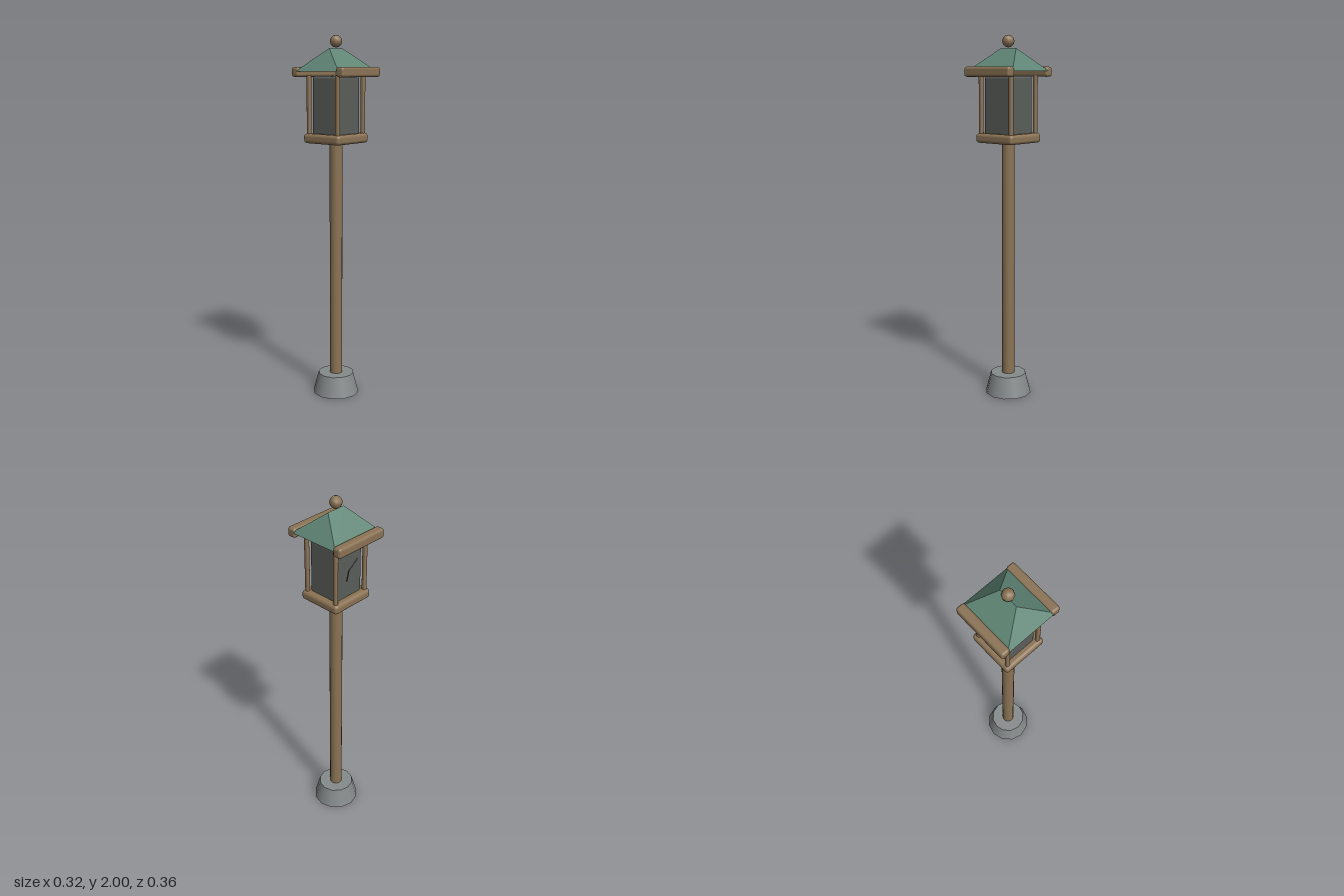
import * as THREE from 'three';
import { RoundedBoxGeometry } from 'three/addons/geometries/RoundedBoxGeometry.js';
import { ConvexGeometry } from 'three/addons/geometries/ConvexGeometry.js';

const paint = (color, flatShading = false) => new THREE.MeshStandardMaterial({ color, flatShading });

export function createModel() {
  const group = new THREE.Group();
  const wood = paint(0x8b7355);
  const roofGreen = paint(0x5f8575, true);
  const glass = paint(0x5a5e5a);
  const stone = paint(0x858a8a);
  const dark = paint(0x1c1c1c);

  const add = (name, geometry, material, x, y, z) => {
    const mesh = new THREE.Mesh(geometry, material);
    mesh.name = name;
    mesh.position.set(x, y, z);
    group.add(mesh);
    return mesh;
  };
  const box = (w, h, d, r) => new RoundedBoxGeometry(w, h, d, 3, r);

  // Stone footing and pole
  add('footing', new THREE.CylinderGeometry(0.1, 0.13, 0.115, 12), stone, 0, 0.0575, 0);
  add('pole', new THREE.CylinderGeometry(0.035, 0.035, 1.35, 16), wood, 0, 0.775, 0);

  // Lantern floor and glass body
  add('lanternFloor', box(0.26, 0.052, 0.25, 0.018), wood, 0, 1.454, 0);
  add('glassBody', box(0.19, 0.32, 0.18, 0.014), glass, 0, 1.625, 0);

  // Corner posts
  for (const x of [-0.106, 0.106])
    for (const z of [-0.1, 0.1])
      add('cornerPost', box(0.022, 0.33, 0.022, 0.007), wood, x, 1.625, z);

  // Eave beams at front and back
  for (const z of [-0.155, 0.155])
    add('eaveBeam', box(0.32, 0.053, 0.05, 0.014), wood, 0, 1.807, z);

  // Hipped roof with a short ridge
  const corners = [];
  for (const x of [-1, 1]) {
    corners.push(new THREE.Vector3(x * 0.055, 0.12, 0));
    for (const z of [-1, 1]) corners.push(new THREE.Vector3(x * 0.16, 0, z * 0.15));
  }
  add('roof', new ConvexGeometry(corners), roofGreen, 0, 1.81, 0);

  // Ball finial
  add('finial', new THREE.SphereGeometry(0.033, 8, 6), wood, 0, 1.967, 0);

  // Thin bent wire on the back pane
  const wire = new THREE.CurvePath();
  const bends = [[0.015, 1.57], [0, 1.625], [-0.063, 1.67]].map(([x, y]) => new THREE.Vector3(x, y, -0.09));
  for (let i = 0; i < 2; i++) wire.add(new THREE.LineCurve3(bends[i], bends[i + 1]));
  add('backWire', new THREE.TubeGeometry(wire, 12, 0.003, 6), dark, 0, 0, 0);

  return group;
}
